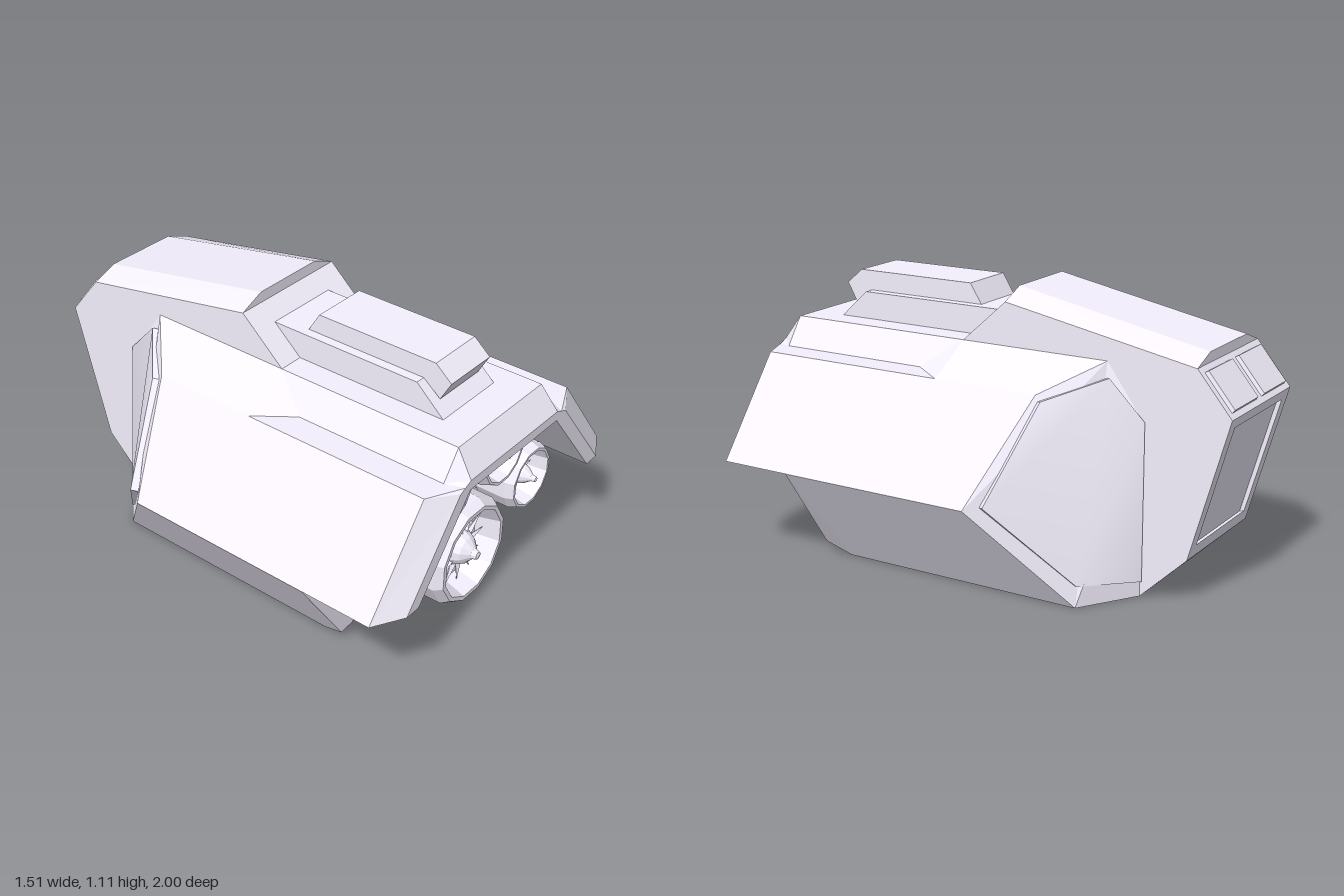
import * as THREE from 'three';
import { mergeVertices } from 'three/addons/utils/BufferGeometryUtils.js';

const hullColor = 0xf4f0fe;
const hull = new THREE.MeshStandardMaterial({ color: hullColor, flatShading: true });
const hullSmooth = new THREE.MeshStandardMaterial({ color: hullColor });
const hullDouble = new THREE.MeshStandardMaterial({ color: hullColor, flatShading: true, side: THREE.DoubleSide });
const green = new THREE.MeshStandardMaterial({ color: 0x00f000 });

// Planar faces given for the left half (+x) and mirrored; each is turned away
// from ref (sign 1) or towards it (sign -1).
function mirroredFaces(name, faces, ref, sign = 1, material = hull) {
  const pos = [];
  const centre = new THREE.Vector3(...ref);
  for (const face of faces) {
    for (const m of [1, -1]) {
      const p = face.map(([x, y, z]) => new THREE.Vector3(x * m, y, z));
      const mid = p.reduce((s, v) => s.add(v), new THREE.Vector3()).divideScalar(p.length);
      const c = centre.clone();
      c.x *= m;
      const n = new THREE.Vector3();
      for (let i = 1; i < p.length - 1; i++) {
        n.add(p[i].clone().sub(p[0]).cross(p[i + 1].clone().sub(p[0])));
      }
      const flip = n.dot(mid.sub(c)) * sign < 0;
      for (let i = 1; i < p.length - 1; i++) {
        const tri = flip ? [p[0], p[i + 1], p[i]] : [p[0], p[i], p[i + 1]];
        tri.forEach((v) => pos.push(v.x, v.y, v.z));
      }
    }
  }
  let g = new THREE.BufferGeometry();
  g.setAttribute('position', new THREE.Float32BufferAttribute(pos, 3));
  if (!material.flatShading) g = mergeVertices(g);
  g.computeVertexNormals();
  const mesh = new THREE.Mesh(g, material);
  mesh.name = name;
  return mesh;
}

// Side profile of [z, y] points, extruded across x
function sideProfile(name, points, halfWidth) {
  const shape = new THREE.Shape(points.map(([z, y]) => new THREE.Vector2(z, y)));
  const g = new THREE.ExtrudeGeometry(shape, { depth: 2 * halfWidth, bevelEnabled: false });
  g.rotateY(-Math.PI / 2).translate(halfWidth, 0, 0);
  const mesh = new THREE.Mesh(g, hull);
  mesh.name = name;
  return mesh;
}

function lathe(name, profile, r) {
  const pts = profile.map(([k, z]) => new THREE.Vector2(k * r, z));
  const g = new THREE.LatheGeometry(pts, 12, Math.PI / 12).rotateX(Math.PI / 2);
  const mesh = new THREE.Mesh(g, hullDouble);
  mesh.name = name;
  return mesh;
}

// Nacelle with hub and radial fan spikes
function engine(x, y, r) {
  const group = new THREE.Group();
  group.name = 'engine';
  group.add(lathe('nacelle', [[0.88, 0.58], [0.88, 0.69], [1, 0.69], [1, 0.825], [0.9, 0.86], [0.82, 0.86],
    [0.7, 0.76], [0.6, 0.76], [0.45, 0.71], [0, 0.71]], r));
  group.add(lathe('hub', [[0.34, 0.71], [0.34, 0.79], [0.25, 0.83], [0.1, 0.86], [0.07, 0.88], [0, 0.885]], r));
  for (let i = 0; i < 12; i++) {
    const g = new THREE.ConeGeometry(0.07 * r, 0.46 * r, 4);
    g.translate(0, 0.5 * r, 0.79).rotateZ((i * Math.PI) / 6);
    const spike = new THREE.Mesh(g, hull);
    spike.name = 'fanSpike';
    group.add(spike);
  }
  group.position.set(x, y, 0);
  return group;
}

export function createModel() {
  const model = new THREE.Group();
  model.name = 'dropship';
  const core = [0, 0.5, 0.1];

  // Corners of the rear quarter facet
  const A = [0.755, 0.4, -0.18], B = [0.46, 0.78, -0.31], C = [0.265, 0.89, -0.5];
  const D = [0.265, 0.68, -0.65], E = [0.265, 0, -0.65], F = [0.49, 0, -0.5];

  // Upper shell: front rim, chamfered back to the roof outline
  const outline = [[0.755, 0.4], [0.46, 0.78], [0.345, 0.78], [0.265, 0.89], [0, 0.89]].map(([x, y]) => [x, y, 0.93]);
  const rim = [[0.63, 0.4], [0.34, 0.765], [0.31, 0.775], [0.28, 0.79], [0, 0.79]].map(([x, y]) => [x, y, 1]);
  const lip = [[0.56, 0.4], [0.28, 0.75], [0, 0.75]];
  const lipFront = lip.map(([x, y]) => [x, y, 1]);
  const lipBack = lip.map(([x, y]) => [x, y, 0.63]);
  const gA = [0.46, 0.78, 0.13], gB = [0.345, 0.78, 0.28], gC = [0.265, 0.89, 0.13];
  const shell = [
    [A, B, outline[1], outline[0]],
    [gA, gB, outline[2], outline[1]],
    [gA, gB, gC],
    [gC, gB, outline[2], outline[3]],
    [gA, gC, C, B],
    [[0, 0.89, 0.13], gC, outline[3], outline[4]],
    [rim[0], rim[1], lipFront[1], lipFront[0]],
    [rim[1], rim[2], rim[3], lipFront[1]],
    [rim[3], rim[4], lipFront[2], lipFront[1]],
    [lipBack[0], [0.755, 0.4, 0.63], outline[0], rim[0], lipFront[0]],
  ];
  for (let i = 0; i < 4; i++) shell.push([outline[i], outline[i + 1], rim[i + 1], rim[i]]);
  model.add(mirroredFaces('upperShell', shell, core));
  model.add(mirroredFaces('shellLining', [0, 1].map((i) => [lipFront[i], lipFront[i + 1], lipBack[i + 1], lipBack[i]]), core, -1));

  // Lower hull with front bulkhead, stepped back along its foot, and rear quarters
  const k0 = [0.52, 0.05, 0.63], k1 = [0.455, 0.055, 0.63], k2 = [0.4, 0.1, 0.63];
  const b0 = [0.49, 0, 0.53], b1 = [0.455, 0.055, 0.53], b2 = [0.4, 0.1, 0.53], side = [0.755, 0.4, 0.63];
  model.add(mirroredFaces('lowerHull', [
    [lipBack[2], lipBack[1], lipBack[0], [0, 0.4, 0.63]],
    [[0, 0.4, 0.63], side, k2, [0, 0.1, 0.63]],
    [side, k0, k1, k2],
    [side, k0, b0, F, A],
    [k0, k1, b0],
    [k1, b1, b0],
    [k1, k2, b2, b1],
    [[0, 0.1, 0.63], k2, b2, [0, 0.1, 0.53]],
    [[0, 0, 0.53], b0, b1, b2, [0, 0.1, 0.53]],
    [A, B, C, F],
    [F, C, D, E],
    [[0, 0, -0.5], F, E, [0, 0, -0.65]],
  ], core));
  model.add(mirroredFaces('floor', [[[0, 0, 0.53], b0, F, [0, 0, -0.5]]], core, 1, green));

  // Raised, softly shaded plate on each rear quarter
  const plate = [[0.715, 0.41, -0.235], [0.47, 0.76, -0.33], [0.28, 0.83, -0.51], [0.265, 0.68, -0.65], [0.265, 0.06, -0.65], [0.475, 0.08, -0.49]];
  const raise = (p, d) => [p[0] + 0.59 * d, p[1] + 0.2 * d, p[2] - 0.78 * d];
  const top = plate.map((p) => raise(p, 0.015));
  const base = plate.map((p) => raise(p, -0.015));
  const quarter = [0.43, 0.42, -0.45];
  model.add(mirroredFaces('quarterPlate', [
    [top[0], top[1], top[2], top[5]],
    [top[5], top[2], top[3], top[4]],
  ], [0.2, 0.42, -0.2], 1, hullSmooth));
  model.add(mirroredFaces('quarterPlateEdge', top.map((p, i) => [p, top[(i + 1) % 6], base[(i + 1) % 6], base[i]]), quarter));

  // Cockpit block at the rear
  const back = (x, y, d = 0) => [x, y - 0.27 * d, -0.84 - (0.16 * (y - 0.18)) / 0.56 + 0.96 * d];
  const w = 0.265, ix = 0.215, hi = 0.7, lo = 0.23;
  model.add(mirroredFaces('cockpit', [
    [E, [w, 0.18, -0.84], [w, 0.74, -1], [w, 0.91, -0.86], [w, 1.06, -0.06], gC],
    [[0, 0.89, 0.13], gC, [w, 1.06, -0.06], [0, 1.06, -0.06]],
    [[0, 1.06, -0.06], [w, 1.06, -0.06], [0.16, 1.105, -0.06], [0, 1.105, -0.06]],
    [[0, 1.105, -0.06], [0.16, 1.105, -0.06], [0.16, 0.95, -0.86], [0, 0.95, -0.86]],
    [[0.16, 1.105, -0.06], [w, 1.06, -0.06], [w, 0.91, -0.86], [0.16, 0.95, -0.86]],
    [[0, 0.95, -0.86], [0.16, 0.95, -0.86], [w, 0.91, -0.86], [0, 0.91, -0.86]],
    [[0, 0.91, -0.86], [w, 0.91, -0.86], back(w, 0.74), back(0, 0.74)],
    [back(0, 0.74), back(w, 0.74), back(ix, hi), back(0, hi)],
    [back(w, 0.74), back(w, 0.18), back(ix, lo), back(ix, hi)],
    [back(0, lo), back(ix, lo), back(w, 0.18), back(0, 0.18)],
    [back(0, 0.18), back(w, 0.18), E, [0, 0, -0.65]],
  ], [0, 0.5, -0.4]));

  // Recessed rear door
  const d = 0.02;
  model.add(mirroredFaces('rearDoor', [[back(0, hi, d), back(ix, hi, d), back(ix, lo, d), back(0, lo, d)]], [0, 0.5, -0.4]));
  model.add(mirroredFaces('rearDoorFrame', [
    [back(0, hi), back(ix, hi), back(ix, hi, d), back(0, hi, d)],
    [back(ix, hi), back(ix, lo), back(ix, lo, d), back(ix, hi, d)],
    [back(0, lo), back(ix, lo), back(ix, lo, d), back(0, lo, d)],
  ], back(0, 0.465, d / 2), -1));

  // Bevelled windows above the door
  for (const s of [1, -1]) {
    const g = new THREE.BoxGeometry(0.22, 0.18, 0.03);
    const p = g.attributes.position;
    for (let i = 0; i < p.count; i++) {
      if (p.getZ(i) > 0) p.setXY(i, p.getX(i) * 0.93, p.getY(i) * 0.93);
    }
    const win = new THREE.Mesh(g, hull);
    win.name = 'window';
    win.rotation.x = Math.atan2(-0.636, -0.773);
    win.position.set(s * 0.13, 0.825, -0.93);
    model.add(win);
  }

  // Roof housing
  model.add(sideProfile('roofHousing', [[0.79, 0.89], [0.67, 1], [0, 1], [0, 0.89]], 0.16));
  model.add(sideProfile('roofPod', [[0.745, 0.94], [0.79, 1.02], [0.72, 1.08], [0.19, 1.08], [0.14, 1], [0.67, 1]], 0.12));

  // Engines
  model.add(engine(0, 0.222, 0.227));
  for (const s of [1, -1]) {
    model.add(engine(s * 0.173, 0.592, 0.144));
    model.add(engine(s * 0.385, 0.365, 0.144));
  }
  return model;
}
